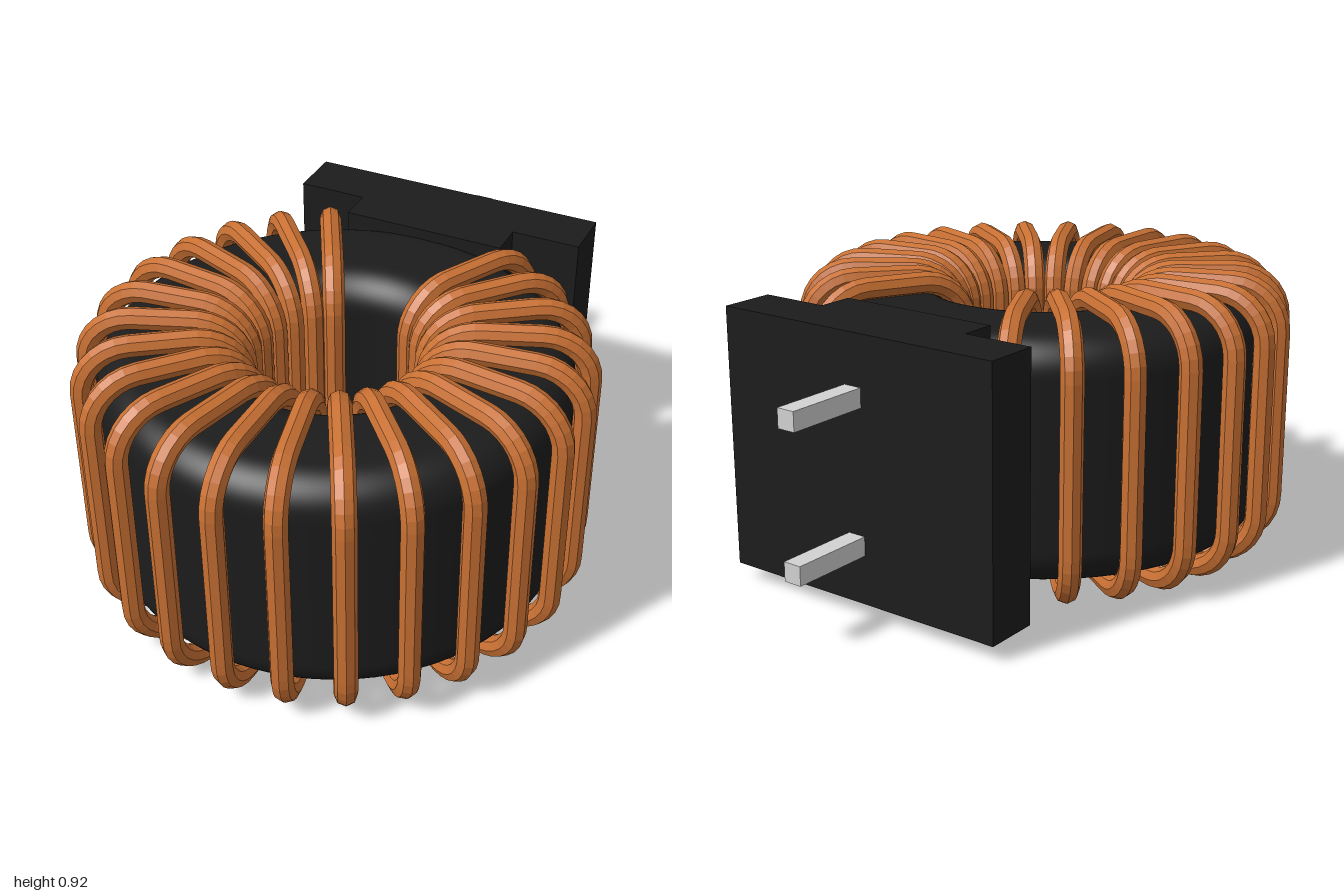
import * as THREE from 'three';

const CENTER_Y = 0.458;
const RING_Z = 0.2;

// Rounded rectangle from radius r0 to r1, half height h, counterclockwise
function ringSection(r0, r1, h, c) {
  const s = new THREE.Shape();
  s.moveTo(r1, h - c);
  s.absarc(r1 - c, h - c, c, 0, Math.PI / 2);
  s.absarc(r0 + c, h - c, c, Math.PI / 2, Math.PI);
  s.absarc(r0 + c, -h + c, c, Math.PI, Math.PI * 1.5);
  s.absarc(r1 - c, -h + c, c, Math.PI * 1.5, Math.PI * 2);
  s.lineTo(r1, h - c);
  return s;
}

// Planar section used as a 3D path
class SectionCurve extends THREE.Curve {
  constructor(section) {
    super();
    this.section = section;
  }
  getPoint(t, target = new THREE.Vector3()) {
    const p = this.section.getPoint(t);
    return target.set(p.x, p.y, 0);
  }
}

export function createModel() {
  const model = new THREE.Group();
  model.name = 'toroidalInductor';

  const black = new THREE.MeshStandardMaterial({ color: 0x1c1c1c });
  black.name = 'black';
  const copper = new THREE.MeshStandardMaterial({ color: 0xc87033 });
  copper.name = 'copper';
  copper.flatShading = true;
  const tin = new THREE.MeshStandardMaterial({ color: 0xd2d2d2 });
  tin.name = 'tin';

  function add(parent, name, geometry, material, x, y, z) {
    const mesh = new THREE.Mesh(geometry, material);
    mesh.name = name;
    mesh.position.set(x, y, z);
    parent.add(mesh);
    return mesh;
  }

  // Ring core
  const profile = ringSection(0.31, 0.72, 0.388, 0.12).getPoints(8);
  add(model, 'core', new THREE.LatheGeometry(profile, 72), black, 0, CENTER_Y, RING_Z);

  // Wire turns around the core, with a gap of three turns at the back
  const winding = new THREE.Group();
  winding.name = 'winding';
  model.add(winding);
  const path = new SectionCurve(ringSection(0.275, 0.762, 0.423, 0.15));
  const turn = new THREE.TubeGeometry(path, 72, 0.035, 8, true);
  for (let i = -11; i <= 11; i++) {
    const mesh = add(winding, 'wireTurn', turn, copper, 0, CENTER_Y, RING_Z);
    mesh.rotation.y = (i / 26) * Math.PI * 2 - Math.PI / 2;
  }

  // Mounting base: stem against the core and wide back plate
  add(model, 'baseStem', new THREE.BoxGeometry(0.54, 0.824, 0.115), black, 0, 0.462, -0.4985);
  add(model, 'basePlate', new THREE.BoxGeometry(0.99, 0.824, 0.175), black, 0, 0.462, -0.6425);

  // Terminal pins
  for (const y of [0.235, 0.686]) {
    add(model, 'pin', new THREE.BoxGeometry(0.06, 0.06, 0.28), tin, 0, y, -0.86);
  }

  return model;
}
